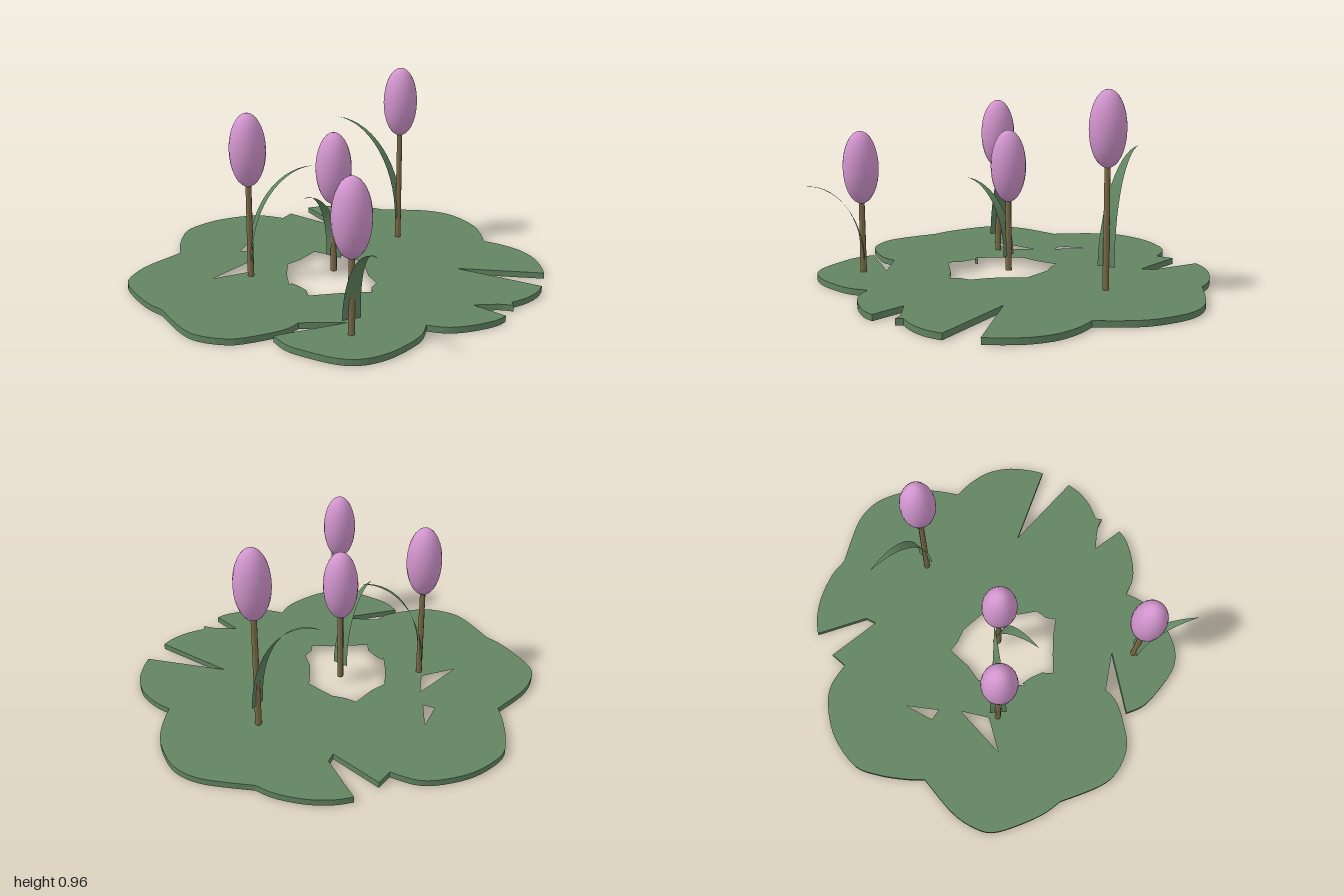
import * as THREE from 'three';

const mat = (name, color, side = THREE.FrontSide) => {
  const m = new THREE.MeshStandardMaterial({ color, side });
  m.name = name;
  return m;
};

// plan coordinates (x, z) to shape coordinates
const pts = list => list.map(([x, z]) => new THREE.Vector2(x, -z));

// Lobes in order round the pad: each is a smooth curve, with sharp corners between
const LOBES = [
  [[-0.62, -0.67], [-0.56, -0.74], [-0.46, -0.81], [-0.33, -0.86], [-0.23, -0.87]],
  [[-0.1, -0.94], [0.0, -0.985], [0.1, -1], [0.2, -0.98], [0.34, -0.9], [0.43, -0.8], [0.5, -0.69]],
  [[0.6, -0.69], [0.72, -0.66], [0.82, -0.59], [0.89, -0.5], [0.93, -0.43]],
  [[0.53, -0.26]],
  [[0.975, -0.27]],
  [[0.98, -0.19], [0.96, -0.1], [0.92, -0.02]],
  [[0.94, 0.01]],
  [[0.88, 0.03], [0.78, 0.1]],
  [[0.95, 0.13]],
  [[0.93, 0.2], [0.86, 0.3], [0.78, 0.37], [0.69, 0.4]],
  [[0.715, 0.5], [0.7, 0.62], [0.67, 0.72], [0.61, 0.81], [0.52, 0.86], [0.38, 0.875], [0.27, 0.87], [0.18, 0.83]],
  [[0.38, 0.56]],
  [[0.2, 0.67]],
  [[0.19, 0.75], [0.13, 0.85], [0.04, 0.95], [-0.1, 0.995], [-0.22, 0.97], [-0.4, 0.88]],
  [[-0.5, 0.86], [-0.62, 0.81], [-0.74, 0.74], [-0.79, 0.66], [-0.815, 0.52], [-0.79, 0.3]],
  [[-0.86, 0.22], [-0.94, 0.1], [-0.985, -0.02], [-0.95, -0.2], [-0.86, -0.34], [-0.77, -0.41], [-0.645, -0.435]],
  [[-0.65, -0.525]],
  [[-0.365, -0.485]],
  [[-0.38, -0.54]],
];

const HOLES = [
  [[-0.2, -0.08], [-0.14, -0.085], [-0.07, -0.11], [0.09, -0.095], [0.13, -0.04], [0.2, 0.05], [0.28, 0.11],
    [0.285, 0.17], [0.315, 0.215], [0.23, 0.27], [0.15, 0.34], [0.08, 0.405], [0.04, 0.36], [-0.02, 0.335],
    [-0.07, 0.325], [-0.07, 0.345], [-0.14, 0.26], [-0.22, 0.14], [-0.2, 0.05]],
  [[-0.58, -0.04], [-0.48, 0.1], [-0.54, 0.11]],
  [[-0.405, 0.19], [-0.33, 0.32], [-0.43, 0.48]],
];

function padGeometry() {
  const shape = new THREE.Shape();
  shape.moveTo(-0.62, 0.67);
  LOBES.forEach((lobe, i) => {
    const p = pts(i ? lobe : lobe.slice(1));
    if (p.length === 1) shape.lineTo(p[0].x, p[0].y);
    else shape.splineThru(p);
  });
  shape.closePath();
  HOLES.forEach(h => shape.holes.push(new THREE.Path(pts(h))));
  const g = new THREE.ExtrudeGeometry(shape, { depth: 0.03, bevelEnabled: false, curveSegments: 3 });
  return g.rotateX(-Math.PI / 2);
}

// Thin blade arching from the stem towards +z and narrowing to a point
function leafGeometry(size) {
  const steps = 14;
  const g = new THREE.PlaneGeometry(1, 1, 2, steps);
  const p = g.attributes.position;
  for (let i = 0; i < p.count; i++) {
    const t = p.getY(i) + 0.5;
    const a = t * Math.PI / 2;
    const half = 0.043 * (1 - Math.pow(t, 1.4));
    p.setXYZ(i, p.getX(i) * 2 * half, size * (0.1 + 0.375 * Math.sin(a)), size * 0.265 * (1 - Math.cos(a)));
  }
  g.computeVertexNormals();
  return g;
}

export function createModel() {
  const padGreen = mat('pad green', 0x628562);
  const leafGreen = mat('leaf green', 0x628562, THREE.DoubleSide);
  const stemBrown = mat('stem brown', 0x7d6c48);
  const budPink = mat('bud pink', 0xd295ce);

  const root = new THREE.Group();
  root.name = 'flowerPatch';
  const add = (parent, name, geometry, material) => {
    const m = new THREE.Mesh(geometry, material);
    m.name = name;
    parent.add(m);
    return m;
  };

  add(root, 'groundPad', padGeometry(), padGreen);

  // x, z, bud centre height, leaf size, leaf direction (x, z)
  const flowers = [
    [0.065, -0.515, 0.783, 1.4, -0.375, 0.03],
    [-0.293, 0.35, 0.67, 1.2, 0.22, -0.235],
    [0.013, 0.07, 0.556, 1, 0, 1],
    [0.455, 0.645, 0.556, 1, 0.205, 0.155],
  ];
  flowers.forEach(([x, z, y, size, dx, dz]) => {
    const f = new THREE.Group();
    f.name = 'flower';
    f.position.set(x, 0, z);
    root.add(f);
    const top = y - 0.15, base = 0.025;
    add(f, 'stem', new THREE.CylinderGeometry(0.014, 0.016, top - base, 8), stemBrown)
      .position.y = (top + base) / 2;
    const bud = add(f, 'bud', new THREE.SphereGeometry(1, 20, 16), budPink);
    bud.scale.set(0.088, 0.18, 0.088);
    bud.position.y = y;
    add(f, 'leaf', leafGeometry(size), leafGreen).rotation.y = Math.atan2(dx, dz);
  });
  return root;
}
